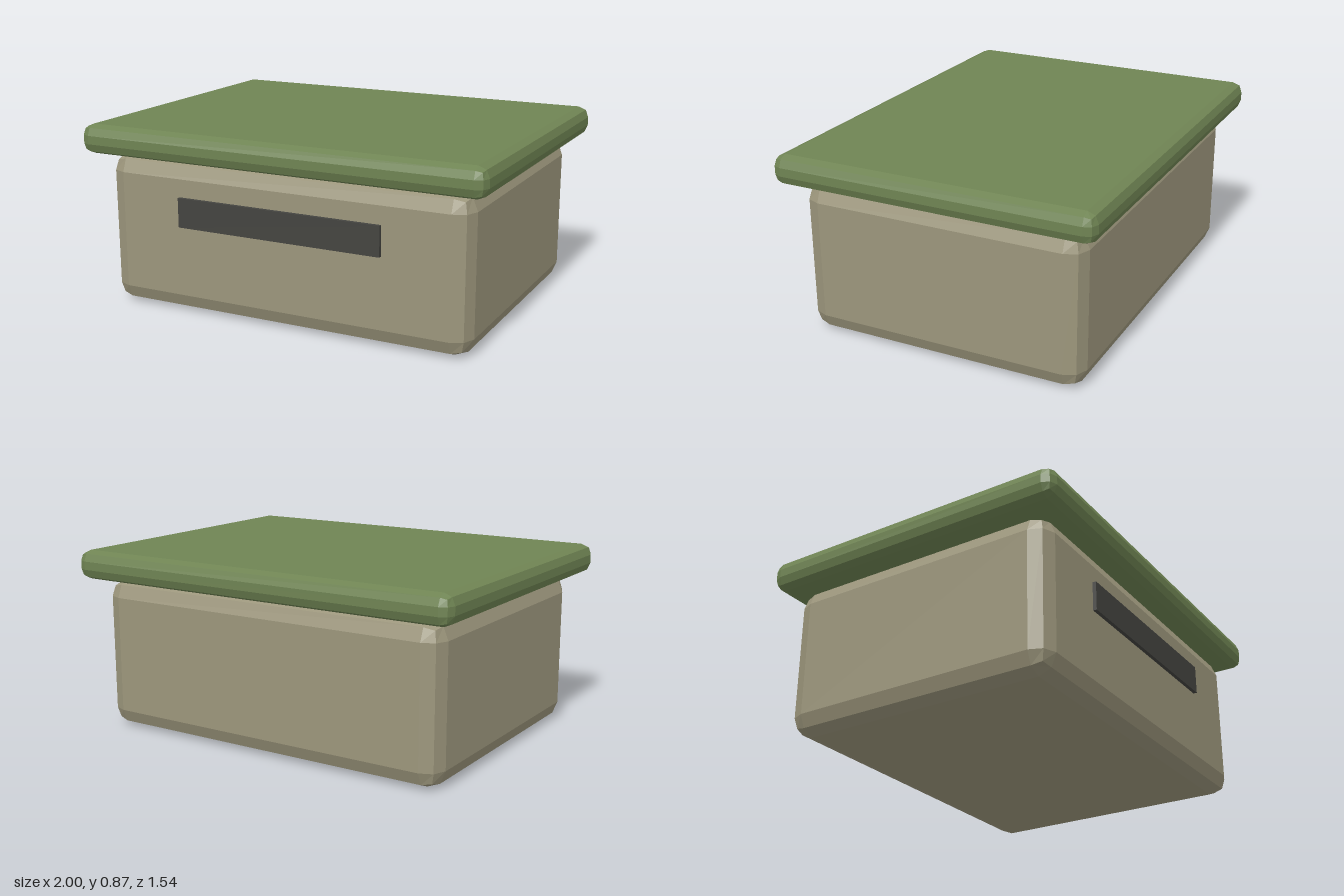
import * as THREE from 'three';
import { RoundedBoxGeometry } from 'three/addons/geometries/RoundedBoxGeometry.js';

function material(name, color) {
  const m = new THREE.MeshStandardMaterial({ color, flatShading: true });
  m.name = name;
  return m;
}

export function createModel() {
  const group = new THREE.Group();
  group.name = 'storageBox';

  const beige = material('beige', 0x9c967c);
  const green = material('green', 0x6f8453);
  const charcoal = material('charcoal', 0x444440);

  function add(name, geometry, mat, y, z = 0) {
    const mesh = new THREE.Mesh(geometry, mat);
    mesh.name = name;
    mesh.position.set(0, y, z);
    group.add(mesh);
  }

  // Box body with two-step bevelled edges
  add('body', new RoundedBoxGeometry(1.82, 0.73, 1.365, 1, 0.085), beige, 0.365);

  // Overhanging lid
  add('lid', new RoundedBoxGeometry(2, 0.14, 1.54, 1, 0.05), green, 0.803);

  // Front slot plate, slightly proud of the body
  add('frontPlate', new THREE.BoxGeometry(1.02, 0.14, 0.036), charcoal, 0.49, 0.682);

  return group;
}
